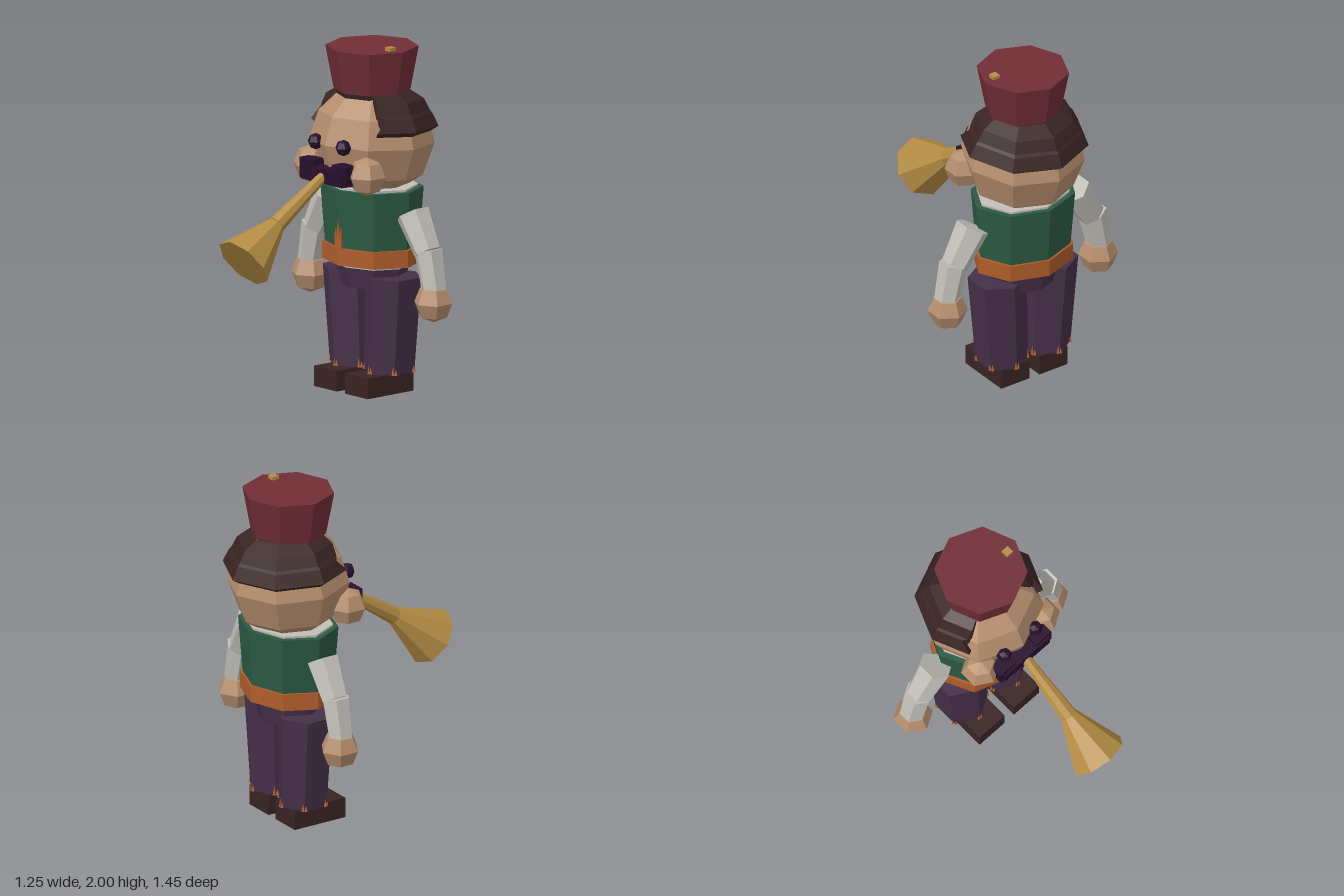
import * as THREE from 'three';

const CZ = -0.35; // depth of the body axis

function material(name, color, side = THREE.FrontSide) {
  const m = new THREE.MeshStandardMaterial({ color, flatShading: true, side });
  m.name = name;
  return m;
}

const V = (x, y, z) => new THREE.Vector3(x, y, z);

// Swept loop of hair: closed profile rows, each with its own front end angle
function hairGeometry(rows) {
  const inner = [45, 90, 135, 180, 225, 270, 315];
  const point = ([r, y, end], i) => {
    const deg = i === 0 ? end : i === inner.length - 1 ? 360 - end : inner[i];
    // keep the end points on the flat sides of the octagon
    const off = ((deg % 45) - 22.5) * Math.PI / 180;
    const rad = r * Math.cos(Math.PI / 8) / Math.cos(off);
    const a = deg * Math.PI / 180;
    return [rad * Math.sin(a), y, rad * Math.cos(a)];
  };
  const pos = [];
  const n = rows.length;
  for (let i = 0; i < inner.length - 1; i++) {
    for (let j = 0; j < n; j++) {
      const k = (j + 1) % n;
      const a = point(rows[j], i), b = point(rows[j], i + 1);
      const c = point(rows[k], i + 1), d = point(rows[k], i);
      pos.push(...a, ...b, ...c, ...a, ...c, ...d);
    }
  }
  for (const i of [0, inner.length - 1]) {
    for (let j = 1; j < n - 1; j++) {
      pos.push(...point(rows[0], i), ...point(rows[j], i), ...point(rows[j + 1], i));
    }
  }
  const g = new THREE.BufferGeometry();
  g.setAttribute('position', new THREE.Float32BufferAttribute(pos, 3));
  g.computeVertexNormals();
  return g;
}

export function createModel() {
  const model = new THREE.Group();
  model.name = 'trumpeter';

  const skin = material('skin', 0xb68e6e);
  const hairBrown = material('darkBrown', 0x382423, THREE.DoubleSide);
  const red = material('hatRed', 0x702d36);
  const green = material('vestGreen', 0x2b5943);
  const orange = material('beltOrange', 0xae5d2b, THREE.DoubleSide);
  const purple = material('trouserPurple', 0x452f48);
  const white = material('shirtGrey', 0xc2bfb8);
  const brass = material('brass', 0xb48c44);
  const dark = material('darkPlum', 0x290f2d);

  const add = (name, geometry, mat, x = 0, y = 0, z = 0, parent = model) => {
    const mesh = new THREE.Mesh(geometry, mat);
    mesh.name = name;
    mesh.position.set(x, y, z);
    parent.add(mesh);
    return mesh;
  };
  const box = (name, mat, w, h, d, x, y, z) =>
    add(name, new THREE.BoxGeometry(w, h, d), mat, x, y, z);
  // Upright octagonal ring between two heights, optionally wider in x
  const drum = (name, mat, rTop, rBottom, y0, y1, sx = 1) => {
    const mesh = add(name, new THREE.CylinderGeometry(rTop, rBottom, y1 - y0, 8),
      mat, 0, (y0 + y1) / 2, CZ);
    mesh.scale.x = sx;
    return mesh;
  };
  // Tapered prism from a to b
  const limb = (name, mat, a, b, ra, rb, sides) => {
    const dir = b.clone().sub(a);
    const mesh = add(name, new THREE.CylinderGeometry(ra, rb, dir.length(), sides), mat);
    mesh.position.copy(a).add(b).multiplyScalar(0.5);
    mesh.quaternion.setFromUnitVectors(V(0, 1, 0), dir.normalize().negate());
    return mesh;
  };
  const ball = (name, mat, r, x, y, z) =>
    add(name, new THREE.SphereGeometry(r, 6, 4).rotateY(Math.PI / 2), mat, x, y, z);

  // Head and hair, tipped back slightly
  const head = new THREE.Group();
  head.name = 'head';
  head.position.set(0, 1.43, CZ);
  head.rotation.x = -0.05;
  model.add(head);
  const skull = [[0, -0.28], [0.2, -0.25], [0.295, -0.185], [0.355, 0],
    [0.31, 0.16], [0.19, 0.285], [0, 0.3]].map(p => new THREE.Vector2(...p));
  add('skull', new THREE.LatheGeometry(skull, 8), skin, 0, 0, 0, head);
  add('hair', hairGeometry([
    [0.31, 0.055, 52], [0.374, 0.1, 53], [0.335, 0.175, 62],
    [0.32, 0.19, 56], [0.285, 0.255, 52], [0.2, 0.305, 46], [0.17, 0.2, 46],
  ]), hairBrown, 0, 0, 0, head);
  drum('hairUnderHat', hairBrown, 0.21, 0.2, 1.7, 1.74);

  // Hat with a small button
  drum('hat', red, 0.265, 0.218, 1.73, 1.98);
  box('hatButton', brass, 0.045, 0.04, 0.045, 0.183, 1.98, -0.328);

  // Moustache
  box('moustacheBar', dark, 0.35, 0.085, 0.085, 0, 1.278, -0.008);

  // Torso: shirt, vest, belt, hips
  drum('shirt', white, 0.24, 0.2, 0.72, 1.188, 1.2);
  drum('vest', green, 0.268, 0.243, 0.82, 1.175, 1.2);
  drum('belt', orange, 0.258, 0.258, 0.74, 0.84, 1.2);
  drum('hips', purple, 0.195, 0.17, 0.6, 0.738, 1.2);

  // Ragged patch on the vest front
  const patch = new THREE.Shape([[-0.03, 0.84], [0.03, 0.84], [0.025, 0.96],
    [0.012, 0.9], [0, 1.0], [-0.012, 0.9], [-0.025, 0.95]].map(p => new THREE.Vector2(...p)));
  add('vestPatch', new THREE.ExtrudeGeometry(patch, { depth: 0.009, bevelEnabled: false }),
    orange, 0, 0, -0.101);

  // Horn: narrow pipe and flared bell
  const joint = V(0, 1.045, 0.37);
  limb('hornPipe', brass, V(0, 1.285, 0), joint, 0.028, 0.052, 8);
  limb('hornBell', brass, joint, V(0, 0.86, 0.62), 0.052, 0.172, 8);

  for (const s of [1, -1]) {
    // Face details
    ball('cheek', skin, 0.112, s * 0.234, 1.293, -0.105);
    ball('eye', dark, 0.047, s * 0.118, 1.45, -0.03);
    box('moustacheEnd', dark, 0.115, 0.115, 0.085, s * 0.138, 1.297, -0.018);

    // Arm
    limb('upperArm', white, V(s * 0.35, 1.062, CZ), V(s * 0.474, 0.857, CZ), 0.1, 0.08, 6);
    limb('forearm', white, V(s * 0.482, 0.87, CZ), V(s * 0.532, 0.645, CZ), 0.084, 0.073, 6);
    ball('hand', skin, 0.114, s * 0.525, 0.575, CZ);

    // Trouser leg, leaning inward toward the ankle
    const leg = new THREE.CylinderGeometry(0.168, 0.15, 0.555, 6);
    const p = leg.attributes.position;
    for (let i = 0; i < p.count; i++) {
      p.setX(i, p.getX(i) + s * (p.getY(i) > 0 ? 0.18 : 0.147));
    }
    add('trouserLeg', leg, purple, 0, 0.3975, CZ);

    // Frayed hem tufts at each corner of the leg
    for (let k = 0; k < 6; k++) {
      const a = k * Math.PI / 3;
      for (const [da, h] of [[-0.05, 0.055], [0.06, 0.04]]) {
        add('hemTuft', new THREE.ConeGeometry(0.011, h, 4), orange,
          s * 0.147 + 0.147 * Math.sin(a + da), 0.12 + h / 2, CZ + 0.147 * Math.cos(a + da));
      }
    }

    box('shoe', hairBrown, 0.195, 0.118, 0.345, s * 0.133, 0.059, -0.288);
  }
  return model;
}
